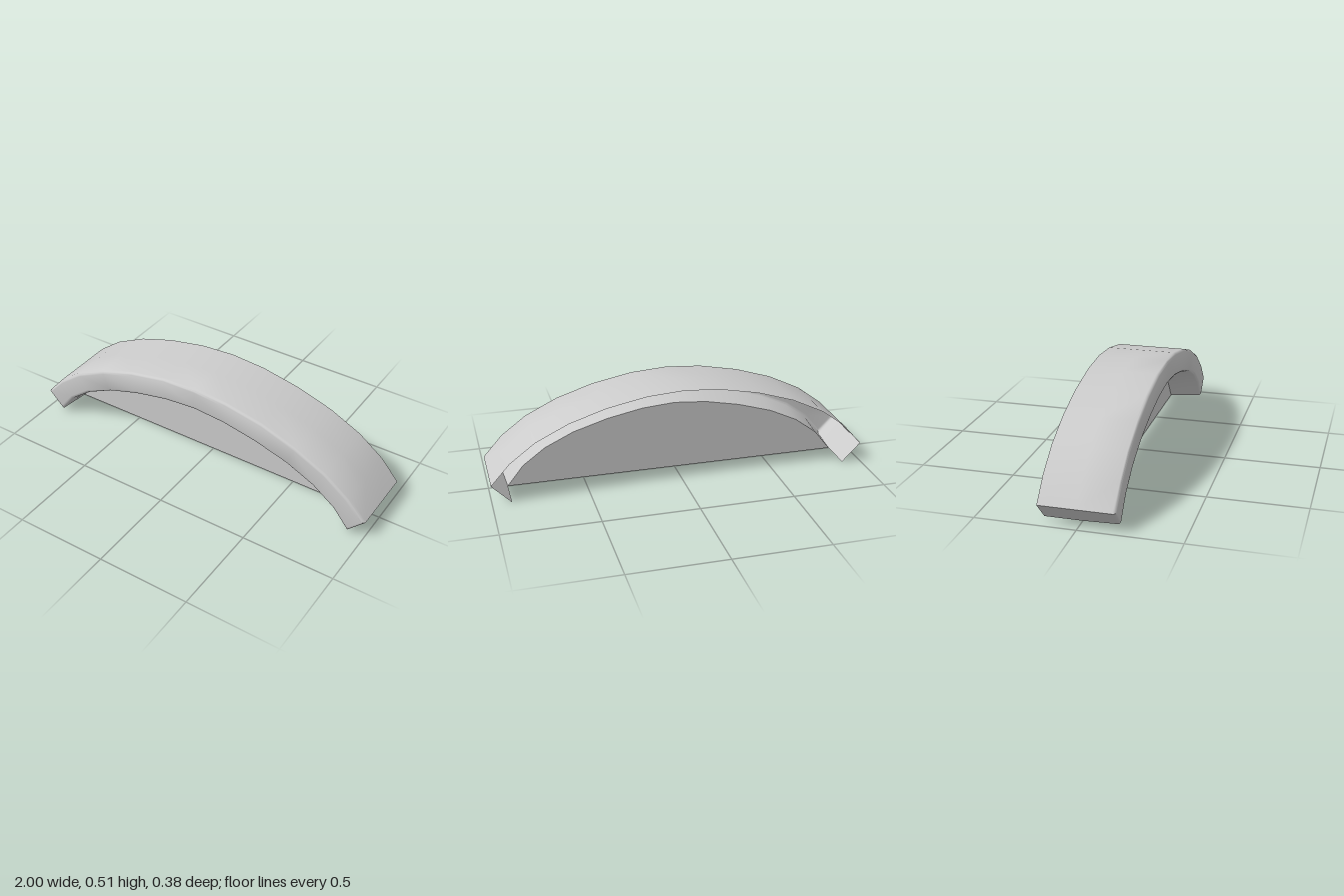
import * as THREE from 'three';
import { toCreasedNormals } from 'three/addons/utils/BufferGeometryUtils.js';

// Half profiles of the arch, from the crown to the right end
const OUTER = [[0, 0.513], [0.19, 0.5], [0.4, 0.459], [0.595, 0.397], [0.768, 0.313], [0.9, 0.214], [1, 0.102]];
const INNER = [[0, 0.374], [0.175, 0.36], [0.36, 0.323], [0.545, 0.267], [0.695, 0.196], [0.815, 0.107], [0.9, 0]];
const BACK = -0.188, PANEL_Z = 0, FRONT = 0.188, BEVEL = 0.018;

// Full curve from left to right
const mirrored = half => [...half.slice(1).reverse().map(([x, y]) => [-x, y]), ...half]
  .map(([x, y]) => new THREE.Vector2(x, y));
const outer = mirrored(OUTER), inner = mirrored(INNER);
const N = outer.length;

// Closed outline at depth z: outer curve left to right, inner curve back again.
// 'inset' shrinks every edge, 'draft' opens the inner curve further.
function ring(z, inset, draft) {
  const top = [], bottom = [];
  for (let i = 0; i < N; i++) {
    const across = inner[i].clone().sub(outer[i]).normalize();
    top.push(outer[i].clone().addScaledVector(across, inset));
    bottom.push(inner[i].clone().addScaledVector(across, -inset - draft));
  }
  for (const curve of [top, bottom]) {
    for (const [end, next] of [[0, 1], [N - 1, N - 2]]) {
      const along = curve[next].clone().sub(curve[end]).normalize();
      curve[end].addScaledVector(along, inset);
    }
  }
  return [...top, ...bottom.reverse()].map(p => new THREE.Vector3(p.x, p.y, z));
}

// Arched shell: outer skin, end caps, rounded front and inner lip; open at the back
function archGeometry() {
  const rings = [ring(BACK, 0, 0), ring(PANEL_Z, 0, 0)];
  for (let s = 0; s <= 4; s++) {
    const a = s / 4 * Math.PI / 2;
    rings.push(ring(FRONT - BEVEL * (1 - Math.sin(a)), BEVEL * (1 - Math.cos(a)), 0.014));
  }
  const positions = [];
  const quad = (a, b, c, d) => [a, b, c, a, c, d].forEach(p => positions.push(p.x, p.y, p.z));
  const count = 2 * N;
  for (let k = 0; k < rings.length - 1; k++) {
    for (let i = 0; i < count; i++) {
      if (k === 0 && i >= N && i < count - 1) continue; // no inner skin behind the panel
      const j = (i + 1) % count;
      quad(rings[k][i], rings[k + 1][i], rings[k + 1][j], rings[k][j]);
    }
  }
  // Flat front face between the two curves
  const f = rings[rings.length - 1];
  for (let i = 0; i < N - 1; i++) quad(f[i], f[count - 1 - i], f[count - 2 - i], f[i + 1]);

  const geometry = new THREE.BufferGeometry();
  geometry.setAttribute('position', new THREE.Float32BufferAttribute(positions, 3));
  return toCreasedNormals(geometry, 0.75);
}

export function createModel() {
  const group = new THREE.Group();
  group.name = 'archedPediment';
  const material = new THREE.MeshStandardMaterial({ color: 0xcccccc, side: THREE.DoubleSide });

  const arch = new THREE.Mesh(archGeometry(), material);
  arch.name = 'archMoulding';
  group.add(arch);

  // Recessed flat panel filling the arch
  const panel = new THREE.Mesh(new THREE.ShapeGeometry(new THREE.Shape(inner)), material);
  panel.name = 'recessedPanel';
  panel.position.z = PANEL_Z;
  group.add(panel);

  return group;
}
